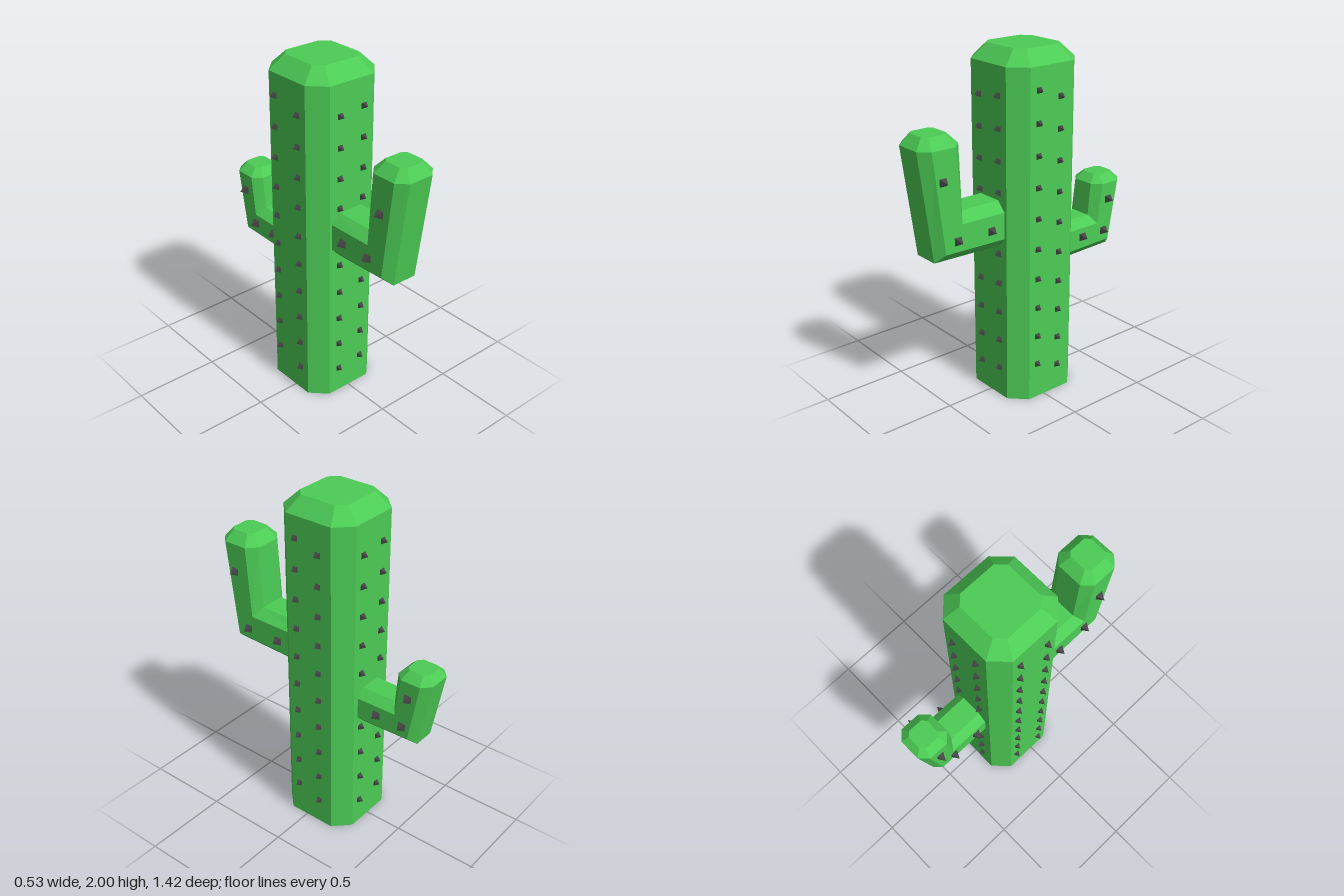
import * as THREE from 'three';

const green = new THREE.MeshStandardMaterial({ color: 0x4ccc55, flatShading: true });
const dark = new THREE.MeshStandardMaterial({ color: 0x444444, flatShading: true });

// Chamfered-square ring: half width h across x, spanning from an outer to an inner [y, z] point.
function ring(h, k, outer, inner, side = 1) {
  const a = 1 - 2 * k;
  const corners = [[-a, 0], [a, 0], [1, k], [1, 1 - k], [a, 1], [-a, 1], [-1, 1 - k], [-1, k]];
  return corners.map(([u, t]) => new THREE.Vector3(
    u * h * side,
    THREE.MathUtils.lerp(outer[0], inner[0], t),
    THREE.MathUtils.lerp(outer[1], inner[1], t)));
}

// Joins rings with flat faces and closes both ends.
function loft(name, rings) {
  const points = [];
  const n = rings[0].length;
  for (let i = 0; i < rings.length - 1; i++) {
    for (let j = 0; j < n; j++) {
      const m = (j + 1) % n;
      const a = rings[i][j], b = rings[i][m], c = rings[i + 1][m], d = rings[i + 1][j];
      points.push(a, b, c, a, c, d);
    }
  }
  const first = rings[0], last = rings[rings.length - 1];
  for (let j = 1; j < n - 1; j++) {
    points.push(first[0], first[j + 1], first[j], last[0], last[j], last[j + 1]);
  }
  const geometry = new THREE.BufferGeometry().setFromPoints(points);
  geometry.computeVertexNormals();
  const mesh = new THREE.Mesh(geometry, green);
  mesh.name = name;
  return mesh;
}

// Four-sided spike with a square base at the origin, pointing up.
const spikeGeometry = new THREE.ConeGeometry(Math.SQRT1_2, 1, 4).rotateY(Math.PI / 4).translate(0, 0.5, 0);
const up = new THREE.Vector3(0, 1, 0);

function addSpike(group, x, y, z, direction, size) {
  const spike = new THREE.Mesh(spikeGeometry, dark);
  spike.name = 'spike';
  spike.position.set(x, y, z);
  spike.quaternion.setFromUnitVectors(up, new THREE.Vector3(...direction));
  spike.scale.setScalar(size);
  group.add(spike);
}

export function createModel() {
  const model = new THREE.Group();
  model.name = 'cactus';

  // Trunk with a bevelled top
  model.add(loft('trunk', [
    ring(0.235, 0.19, [0, 0.2], [0, -0.27]),
    ring(0.235, 0.19, [1.92, 0.2], [1.92, -0.27]),
    ring(0.157, 0.15, [2, 0.12], [2, -0.19]),
  ]));

  // Bent arms: root, mitred elbow, tip, bevelled top
  model.add(loft('frontArm', [
    ring(0.13, 0.21, [0.925, 0.15], [1.19, 0.15]),
    ring(0.13, 0.21, [0.94, 0.625], [1.19, 0.44]),
    ring(0.132, 0.21, [1.56, 0.71], [1.56, 0.455]),
    ring(0.077, 0.17, [1.62, 0.662], [1.62, 0.512]),
  ]));
  model.add(loft('backArm', [
    ring(0.112, 0.22, [0.713, -0.22], [0.937, -0.22], -1),
    ring(0.112, 0.22, [0.725, -0.635], [0.937, -0.48], -1),
    ring(0.113, 0.22, [1.125, -0.712], [1.125, -0.497], -1),
    ring(0.065, 0.18, [1.17, -0.673], [1.17, -0.543], -1),
  ]));

  // Trunk spikes: two columns on each face [x, lowest y, z, direction]
  const trunkSpikes = new THREE.Group();
  trunkSpikes.name = 'trunkSpikes';
  const columns = [
    [-0.077, 0.16, 0.2, [0, 0, 1]], [0.083, 0.178, 0.2, [0, 0, 1]],
    [-0.075, 0.18, -0.27, [0, 0, -1]], [0.088, 0.16, -0.27, [0, 0, -1]],
    [0.235, 0.212, 0.053, [1, 0, 0]], [0.235, 0.16, -0.095, [1, 0, 0]],
    [-0.235, 0.212, -0.135, [-1, 0, 0]], [-0.235, 0.16, 0.05, [-1, 0, 0]],
  ];
  for (const [x, y, z, direction] of columns) {
    for (let i = 0; i < 10; i++) addSpike(trunkSpikes, x, y + i * 0.176, z, direction, 0.032);
  }
  model.add(trunkSpikes);

  // Larger spikes on the sides of the arms [x, y, z]
  const armSpikes = new THREE.Group();
  armSpikes.name = 'armSpikes';
  const spots = [
    [0.13, 1.05, 0.288], [0.13, 1.05, 0.508], [0.13, 1.39, 0.593],
    [-0.13, 1.06, 0.287], [-0.13, 1.06, 0.482], [-0.13, 1.355, 0.565],
    [0.112, 0.835, -0.395], [0.112, 0.835, -0.562], [0.112, 1.025, -0.592],
    [-0.112, 0.835, -0.343], [-0.112, 0.835, -0.51], [-0.112, 1.025, -0.6],
  ];
  for (const [x, y, z] of spots) addSpike(armSpikes, x, y, z, [Math.sign(x), 0, 0], 0.044);
  model.add(armSpikes);

  return model;
}
